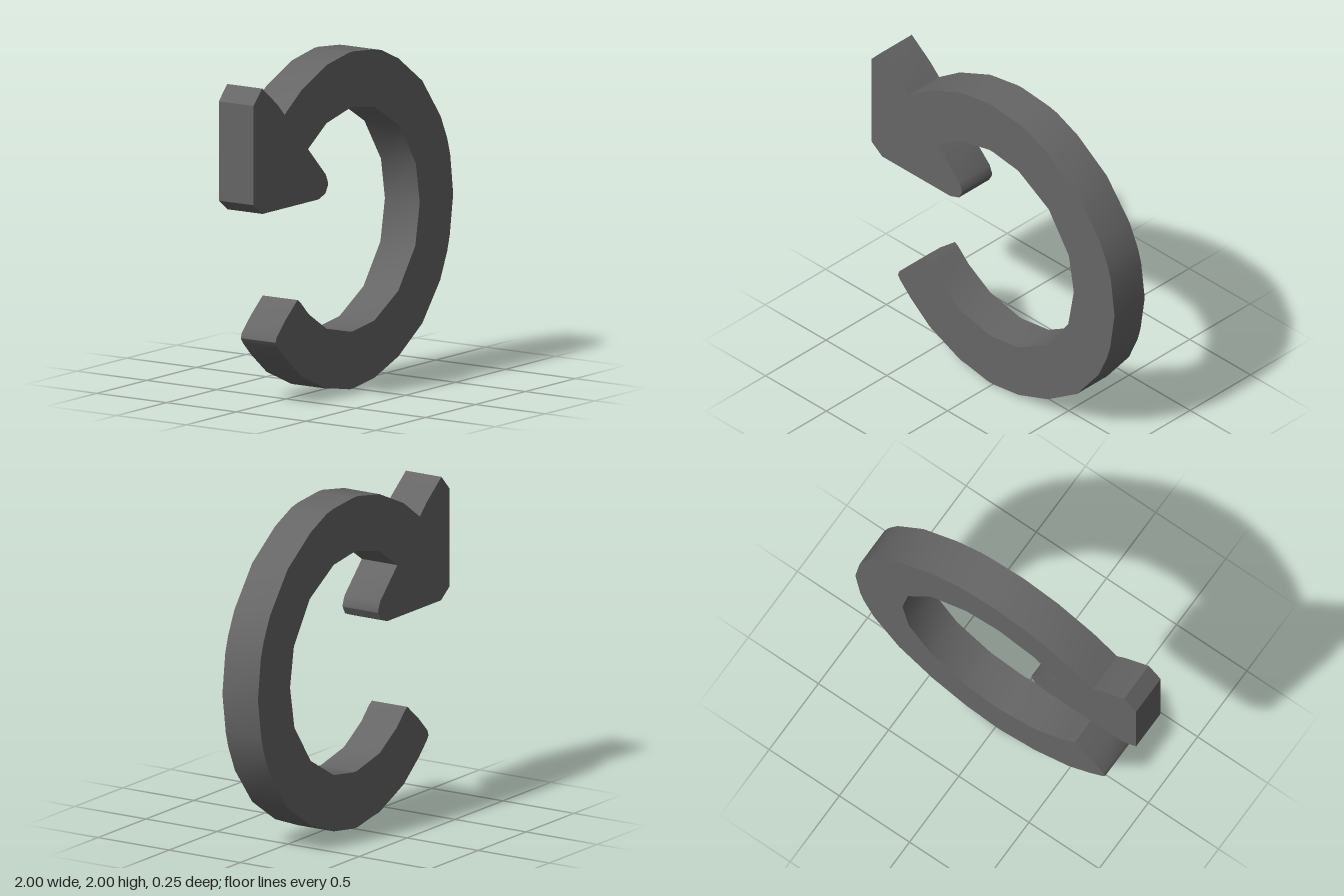
import * as THREE from 'three';
import { toCreasedNormals } from 'three/addons/utils/BufferGeometryUtils.js';

const DEPTH = 0.25;

// Rounded tail end of the band, from its inner corner to its outer corner
const tail = [[-0.53, 0.59], [-0.56, 0.61], [-0.68, 0.51], [-0.77, 0.42], [-0.78, 0.39], [-0.76, 0.36]];

// Outer rim, counter-clockwise from tail to arrowhead
const outerRim = [
  [-0.68, 0.28], [-0.52, 0.15], [-0.27, 0.04], [-0.2, 0.03], [-0.04, 0], [0, 0], [0.21, 0.03],
  [0.45, 0.12], [0.69, 0.28], [0.87, 0.51], [0.94, 0.67], [0.965, 0.76], [1, 1],
  [0.97, 1.24], [0.94, 1.34], [0.875, 1.48], [0.69, 1.72], [0.45, 1.89], [0.28, 1.965],
  [0.21, 1.98], [0, 2], [-0.04, 2], [-0.27, 1.96], [-0.52, 1.85], [-0.69, 1.73],
];

// Arrowhead with clipped corners and a rounded inner barb
const head = [
  [-0.76, 1.8], [-0.915, 1.92], [-1, 1.83], [-1, 1.24], [-0.91, 1.175], [-0.35, 1.175],
  [-0.28, 1.2], [-0.255, 1.245], [-0.255, 1.26], [-0.275, 1.31],
];

// Inner rim, clockwise from arrowhead back to the tail
const innerRim = [
  [-0.455, 1.49], [-0.27, 1.615], [-0.03, 1.67], [0, 1.67], [0.21, 1.64], [0.46, 1.49],
  [0.625, 1.24], [0.665, 1], [0.62, 0.75], [0.45, 0.51], [0.21, 0.37], [0, 0.34],
  [-0.03, 0.34], [-0.27, 0.395], [-0.45, 0.51],
];

export function createModel() {
  const group = new THREE.Group();
  group.name = 'circularArrow';

  const darkGrey = new THREE.MeshStandardMaterial({ color: 0x666666 });
  darkGrey.name = 'darkGrey';

  // One continuous outline, extruded and centred on z
  const outline = [...tail, ...outerRim, ...head, ...innerRim].map(([x, y]) => new THREE.Vector2(x, y));
  const slab = new THREE.ExtrudeGeometry(new THREE.Shape(outline), { depth: DEPTH, bevelEnabled: false });
  slab.translate(0, 0, -DEPTH / 2);

  // Smooth along the rims, sharp at the face edges and corners
  const arrow = new THREE.Mesh(toCreasedNormals(slab, 0.5), darkGrey);
  arrow.name = 'curvedArrow';
  group.add(arrow);
  return group;
}
